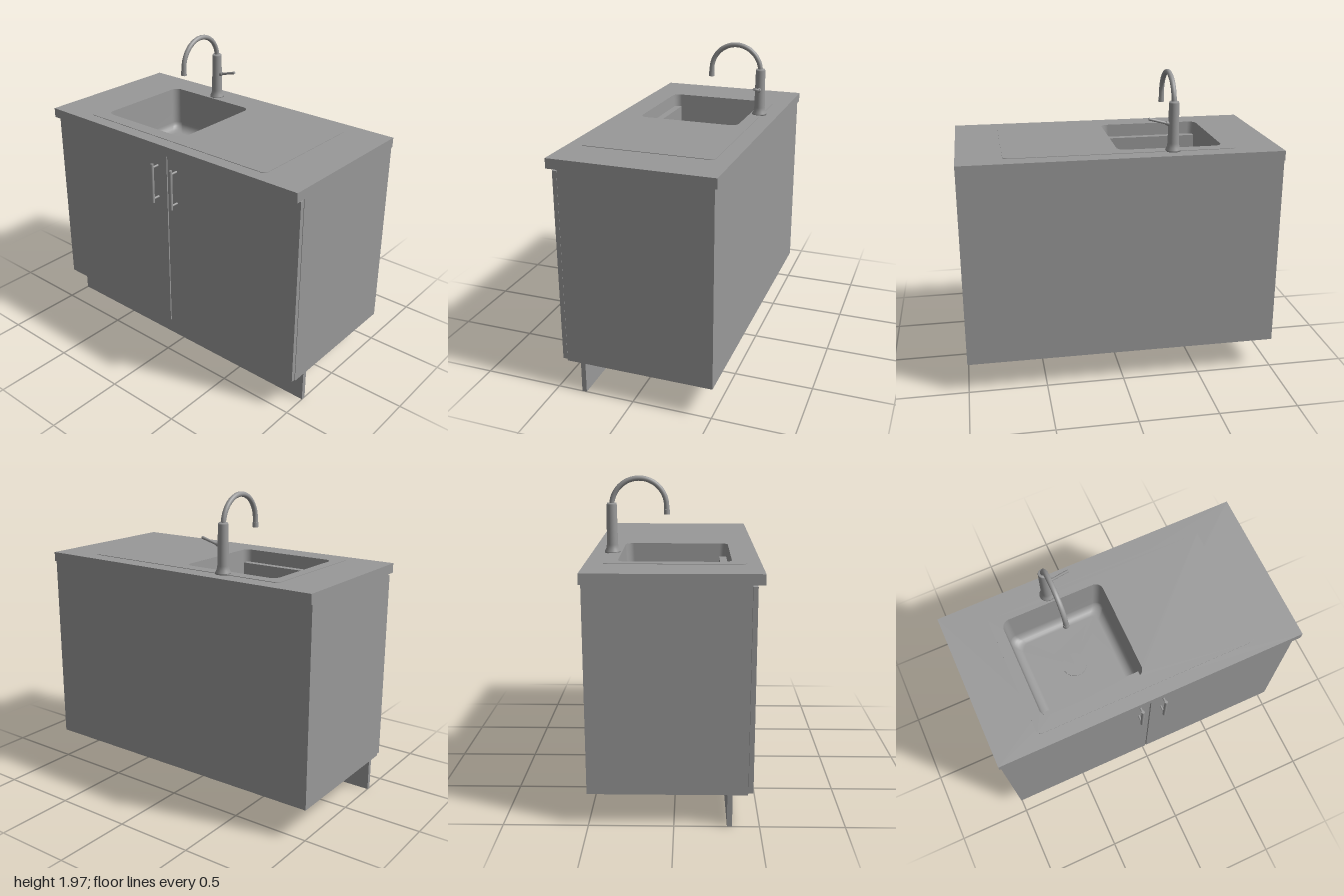
import * as THREE from 'three';

const grey = new THREE.MeshStandardMaterial({ color: 0x999999, side: THREE.DoubleSide });
grey.name = 'grey';

function add(parent, name, geometry, x = 0, y = 0, z = 0) {
  const mesh = new THREE.Mesh(geometry, grey);
  mesh.name = name;
  mesh.position.set(x, y, z);
  parent.add(mesh);
  return mesh;
}

// Box given by its lower and upper limits
function box(parent, name, x0, x1, y0, y1, z0, z1) {
  return add(parent, name, new THREE.BoxGeometry(x1 - x0, y1 - y0, z1 - z0),
    (x0 + x1) / 2, (y0 + y1) / 2, (z0 + z1) / 2);
}

// Points around a rounded rectangle in the (x, z) plane
function roundedRect(cx, cz, hx, hz, r, steps = 8) {
  const pts = [];
  [[1, 1], [-1, 1], [-1, -1], [1, -1]].forEach(([sx, sz], c) => {
    for (let i = 0; i <= steps; i++) {
      const a = (c + i / steps) * Math.PI / 2;
      pts.push(new THREE.Vector2(cx + sx * (hx - r) + r * Math.cos(a), cz + sz * (hz - r) + r * Math.sin(a)));
    }
  });
  return pts;
}

// Horizontal slab with one hole, from y0 to y1
function slab(parent, name, outline, hole, y0, y1) {
  const shape = new THREE.Shape(outline);
  shape.holes.push(new THREE.Path(hole));
  const geo = new THREE.ExtrudeGeometry(shape, { depth: y1 - y0, bevelEnabled: false });
  geo.rotateX(Math.PI / 2);
  return add(parent, name, geo, 0, y1, 0);
}

// Rod between two points, with a radius at each end
function rod(parent, name, a, b, r0, r1 = r0) {
  const from = new THREE.Vector3(...a), to = new THREE.Vector3(...b);
  const dir = to.clone().sub(from);
  const mesh = add(parent, name, new THREE.CylinderGeometry(r1, r0, dir.length(), 16));
  mesh.position.copy(from).add(to).multiplyScalar(0.5);
  mesh.quaternion.setFromUnitVectors(new THREE.Vector3(0, 1, 0), dir.normalize());
  return mesh;
}

const BX = -0.32, HALF = 0.333, FLOOR = 1.2;

// Bowl: stacked rounded rectangles with a filleted floor
function basinGeometry() {
  const levels = [[1.502, 0, 0.05]];
  const f = 0.06;
  for (let i = 0; i <= 6; i++) {
    const a = i / 6 * Math.PI / 2;
    levels.push([FLOOR + f * (1 - Math.sin(a)), 0.012 + f * (1 - Math.cos(a)), 0.05]);
  }
  const pos = [], index = [];
  let n = 0;
  for (const [y, inset, r] of levels) {
    const ring = roundedRect(BX, 0, HALF - inset, HALF - inset, r);
    n = ring.length;
    ring.forEach(p => pos.push(p.x, y, p.y));
  }
  for (let l = 0; l < levels.length - 1; l++) {
    for (let i = 0; i < n; i++) {
      const j = (i + 1) % n, a = l * n + i, b = l * n + j;
      index.push(a, b, a + n, b, b + n, a + n);
    }
  }
  const centre = pos.length / 3, last = (levels.length - 1) * n;
  pos.push(BX, FLOOR, 0);
  for (let i = 0; i < n; i++) index.push(last + i, last + (i + 1) % n, centre);
  const geo = new THREE.BufferGeometry();
  geo.setAttribute('position', new THREE.Float32BufferAttribute(pos, 3));
  geo.setIndex(index);
  geo.computeVertexNormals();
  return geo;
}

export function createModel() {
  const model = new THREE.Group();
  model.name = 'sinkCabinet';

  // Carcass panels and plinth
  const carcass = new THREE.Group();
  carcass.name = 'carcass';
  model.add(carcass);
  box(carcass, 'leftSide', 0.97, 1, 0.2, 1.44, -0.505, 0.43);
  box(carcass, 'rightSide', -1, -0.97, 0.2, 1.44, -0.505, 0.43);
  box(carcass, 'backPanel', -0.97, 0.97, 0.2, 1.44, -0.505, -0.48);
  box(carcass, 'bottomPanel', -0.97, 0.97, 0.2, 0.23, -0.48, 0.43);
  box(carcass, 'frontRail', -0.97, 0.97, 1.38, 1.44, 0.4, 0.43);
  box(model, 'plinth', -1, 1, 0, 0.2, 0.31, 0.34);

  // Doors with bar handles
  for (const s of [-1, 1]) {
    const door = new THREE.Group();
    door.name = s > 0 ? 'leftDoor' : 'rightDoor';
    model.add(door);
    box(door, 'doorPanel', s > 0 ? 0.004 : -0.998, s > 0 ? 0.998 : -0.004, 0.21, 1.43, 0.432, 0.46);
    const x = s * 0.078;
    rod(door, 'handleBar', [x, 1.095, 0.511], [x, 1.36, 0.511], 0.01);
    for (const y of [1.12, 1.335]) rod(door, 'handlePost', [x, y, 0.455], [x, y, 0.511], 0.007);
  }

  // Worktop and the thin sink plate lying on it
  const rect = [[-1, -0.518], [1, -0.518], [1, 0.5], [-1, 0.5]].map(p => new THREE.Vector2(...p));
  slab(model, 'worktop', rect, roundedRect(BX, 0, HALF + 0.003, HALF + 0.003, 0.053), 1.438, 1.5);
  slab(model, 'sinkPlate', roundedRect(0, 0.003, 0.72, 0.415, 0.03),
    roundedRect(BX, 0, HALF, HALF, 0.05), 1.5, 1.503);

  // Basin, front ledge and drain
  add(model, 'basin', basinGeometry());
  box(model, 'basinLedge', BX - 0.315, BX + 0.315, FLOOR + 0.01, 1.42, 0.278, 0.325);
  add(model, 'drain', new THREE.CylinderGeometry(0.078, 0.078, 0.006, 40), BX, FLOOR + 0.003, 0);

  // Tap: turned body, arched spout and side lever
  const tap = new THREE.Group();
  tap.name = 'tap';
  tap.position.set(BX, 0, -0.392);
  model.add(tap);
  const profile = [[0, 1.5], [0.048, 1.5], [0.047, 1.51], [0.039, 1.525], [0.035, 1.55],
    [0.031, 1.795], [0.028, 1.805], [0, 1.807]].map(p => new THREE.Vector2(...p));
  add(tap, 'tapBody', new THREE.LatheGeometry(profile, 32));
  const path = [];
  for (let i = 0; i <= 16; i++) {
    const a = Math.PI * (1 - i / 16);
    path.push(new THREE.Vector3(0, 1.784 + 0.17 * Math.sin(a), 0.168 + 0.168 * Math.cos(a)));
  }
  path.push(new THREE.Vector3(0, 1.75, 0.337));
  add(tap, 'spout', new THREE.TubeGeometry(new THREE.CatmullRomCurve3(path), 64, 0.016, 16));
  rod(tap, 'spoutTip', [0, 1.736, 0.338], [0, 1.765, 0.337], 0.019, 0.018);
  rod(tap, 'leverHub', [0.02, 1.668, 0], [0.05, 1.675, 0], 0.017, 0.012);
  rod(tap, 'lever', [0.045, 1.673, 0], [0.155, 1.703, 0], 0.008, 0.009);

  return model;
}
